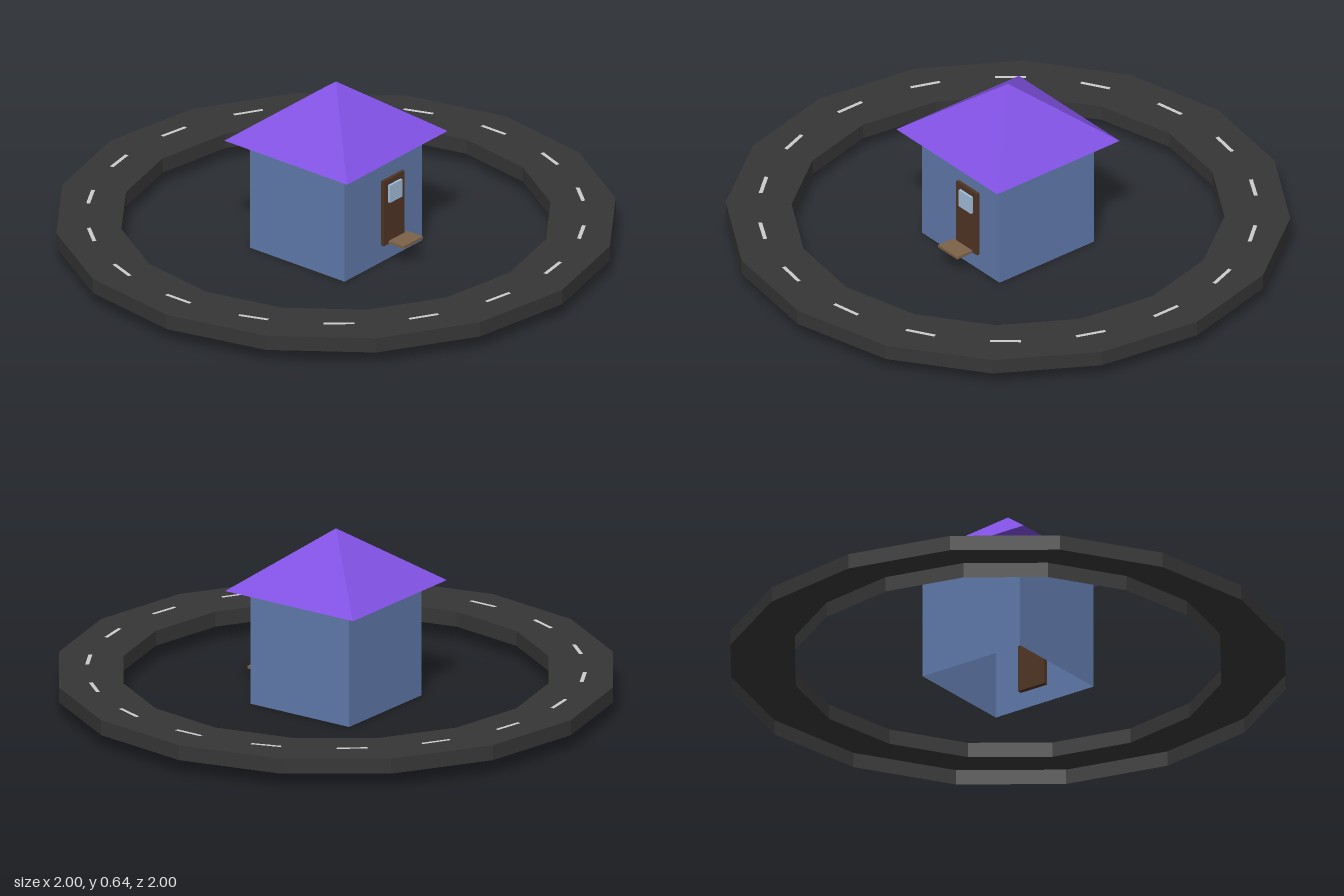
import * as THREE from 'three';

function addPart(parent, name, geometry, color, x = 0, y = 0, z = 0, side = THREE.FrontSide) {
  const mesh = new THREE.Mesh(geometry, new THREE.MeshStandardMaterial({ color, flatShading: true, side }));
  mesh.name = name;
  mesh.position.set(x, y, z);
  parent.add(mesh);
  return mesh;
}

// Sixteen-sided road ring, open underneath, with painted dashes
function createRoad() {
  const road = new THREE.Group();
  road.name = 'road';
  const inner = 0.767, outer = 1, bottom = 0.056, top = 0.112;
  const section = [
    [outer, bottom], [outer, top], [inner, top], [inner, bottom],
  ].map(([r, y]) => new THREE.Vector2(r, y));
  addPart(road, 'roadRing', new THREE.LatheGeometry(section, 16).toNonIndexed(), 0x363636,
    0, 0, 0, THREE.DoubleSide);

  const dashCount = 18, dashRadius = 0.88;
  const dashGeometry = new THREE.PlaneGeometry(0.014, 0.11).rotateX(-Math.PI / 2);
  for (let i = 0; i < dashCount; i++) {
    const angle = (i / dashCount) * Math.PI * 2;
    const dash = addPart(road, 'laneDash', dashGeometry, 0xc4c4c4,
      Math.cos(angle) * dashRadius, 0.117, Math.sin(angle) * dashRadius, THREE.DoubleSide);
    dash.rotation.y = -angle;
  }
  return road;
}

// Square house, turned twenty degrees inside the ring
function createHouse() {
  const house = new THREE.Group();
  house.name = 'house';
  const wallRadius = 0.432 / Math.SQRT2, wallHeight = 0.426, roofHeight = 0.214;

  // Four walls without a floor
  const walls = addPart(house, 'walls',
    new THREE.CylinderGeometry(wallRadius, wallRadius, wallHeight, 4, 1, true), 0x607aac,
    0, wallHeight / 2, 0, THREE.DoubleSide);
  walls.rotation.y = Math.PI / 4;

  const roof = addPart(house, 'roof', new THREE.ConeGeometry(0.397, roofHeight, 4), 0x8050e2,
    0, wallHeight + roofHeight / 2, 0);
  roof.rotation.y = Math.PI / 4;

  // Entrance, with the door set through the front wall
  const doorX = 0.047;
  addPart(house, 'door', new THREE.BoxGeometry(0.116, 0.255, 0.03), 0x503524, doorX, 0.1925, 0.213);
  addPart(house, 'doorWindow', new THREE.BoxGeometry(0.068, 0.068, 0.014), 0xa2bfdc, doorX, 0.264, 0.23);
  addPart(house, 'doorStep', new THREE.BoxGeometry(0.106, 0.01, 0.07), 0x7d6248, doorX, 0.085, 0.28);

  house.rotation.y = THREE.MathUtils.degToRad(20);
  return house;
}

export function createModel() {
  const model = new THREE.Group();
  model.name = 'houseInRoadRing';
  model.add(createRoad(), createHouse());
  return model;
}
